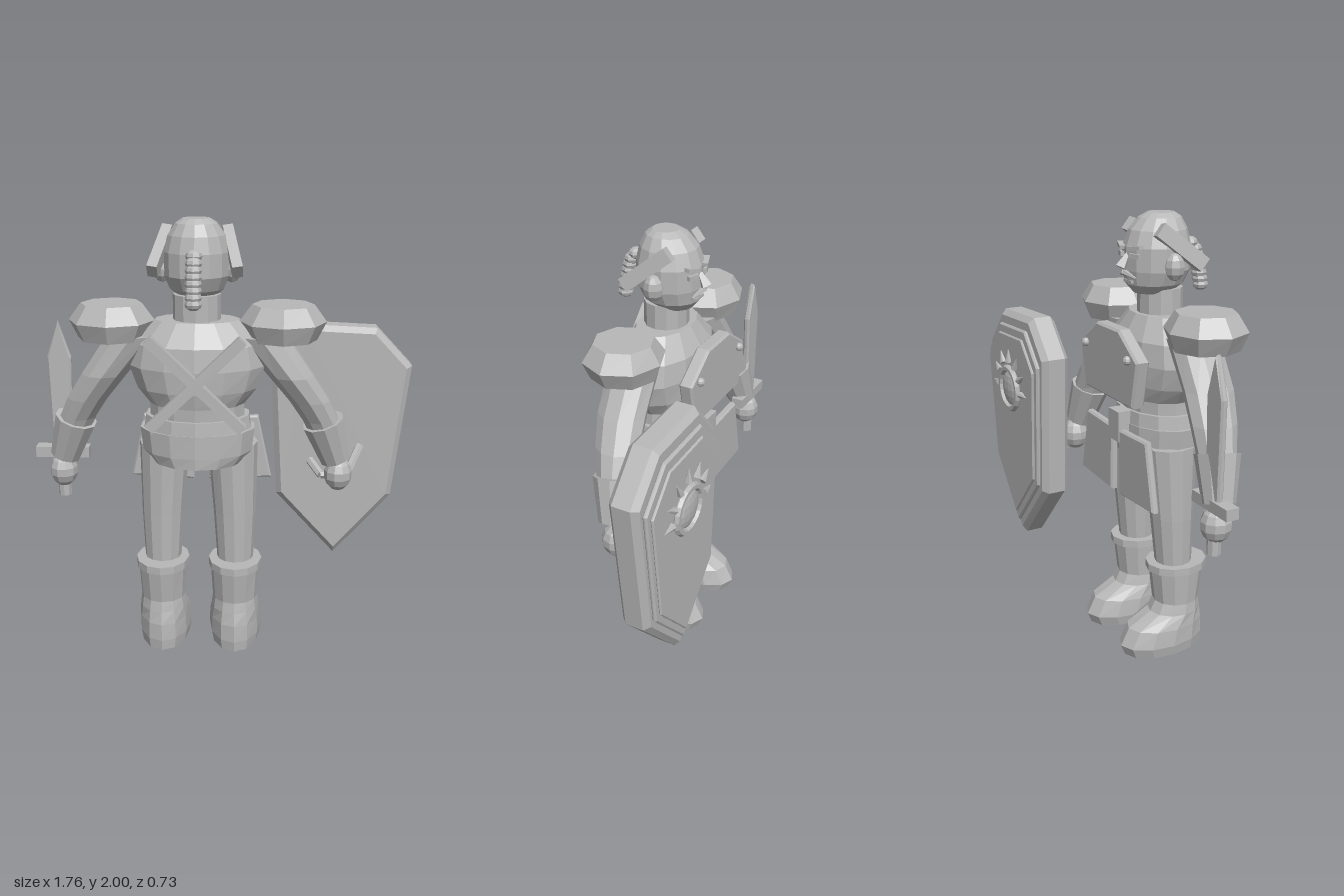
import * as THREE from 'three';

const grey = new THREE.MeshStandardMaterial({ color: 0xb8b8b8, flatShading: true });
grey.name = 'plain grey';

const V = (x, y, z) => new THREE.Vector3(x, y, z);

function add(parent, name, geometry, x = 0, y = 0, z = 0) {
  const mesh = new THREE.Mesh(geometry, grey);
  mesh.name = name;
  mesh.position.set(x, y, z);
  parent.add(mesh);
  return mesh;
}

// Stack of horizontal ellipses, bottom to top: [y, centreX, centreZ, radiusX, radiusZ]
function loft(rings, sides = 12) {
  const geometry = new THREE.CylinderGeometry(1, 1, 1, sides, rings.length - 1);
  const p = geometry.attributes.position;
  for (let i = 0; i < p.count; i++) {
    const [y, cx, cz, rx, rz] = rings[Math.round((p.getY(i) + 0.5) * (rings.length - 1))];
    p.setXYZ(i, cx + p.getX(i) * rx, y, cz + p.getZ(i) * rz);
  }
  geometry.computeVertexNormals();
  return geometry;
}

// Straight tapered rod from a to b
function rod(parent, name, a, b, ra, rb, sides = 8) {
  const dir = b.clone().sub(a);
  const mesh = add(parent, name, new THREE.CylinderGeometry(rb, ra, dir.length(), sides));
  mesh.position.copy(a).add(b).multiplyScalar(0.5);
  mesh.quaternion.setFromUnitVectors(V(0, 1, 0), dir.normalize());
  return mesh;
}

// Flat outline extruded between z0 and z1
function plate(parent, name, points, z0, z1, bevel = 0) {
  const shape = new THREE.Shape(points.map(([x, y]) => new THREE.Vector2(x, y)));
  const geometry = new THREE.ExtrudeGeometry(shape, {
    depth: z1 - z0 - 2 * bevel, bevelEnabled: bevel > 0, bevelThickness: bevel,
    bevelSize: bevel, bevelOffset: -bevel, bevelSegments: 1,
  });
  return add(parent, name, geometry, 0, 0, z0 + bevel);
}

const ball = (r, w = 10, h = 7) => new THREE.SphereGeometry(r, w, h);
const box = (x, y, z) => new THREE.BoxGeometry(x, y, z);

function addHead(body) {
  add(body, 'neck', loft([[1.54, 0, 0.12, 0.105, 0.1], [1.68, 0, 0.12, 0.105, 0.1]]));
  add(body, 'head', loft([
    [1.66, 0, 0.08, 0.075, 0.085], [1.7, 0, 0.09, 0.12, 0.13], [1.76, 0, 0.1, 0.143, 0.15],
    [1.86, 0, 0.1, 0.145, 0.15], [1.93, 0, 0.105, 0.125, 0.13], [1.98, 0, 0.115, 0.09, 0.095],
    [2, 0, 0.12, 0.06, 0.06]], 14));

  // Braid
  for (let i = 0; i < 8; i++) {
    const t = i / 7;
    const bead = add(body, 'braidBead', ball(0.036, 8, 6), 0, 1.86 - 0.19 * t,
      0.27 + 0.06 * Math.sqrt(t));
    bead.scale.y = 0.75;
  }

  for (const s of [-1, 1]) {
    add(body, 'ear', ball(1, 8, 6), s * 0.15, 1.785, 0.1).scale.set(0.042, 0.06, 0.045);
    const wing = add(body, 'templeWing', box(0.045, 0.065, 0.25), s * 0.155, 1.865, 0.13);
    wing.rotation.set(0.68, s * 0.2, 0);
    const brow = add(body, 'brow', box(0.07, 0.016, 0.03), s * 0.058, 1.862, -0.04);
    brow.rotation.set(0, s * -0.35, s * 0.15);
    const eye = add(body, 'eye', box(0.055, 0.02, 0.02), s * 0.056, 1.828, -0.04);
    eye.rotation.y = s * -0.35;
    rod(body, 'moustache', V(0, 1.755, -0.06), V(s * 0.065, 1.735, -0.04), 0.014, 0.004, 5);
  }
  rod(body, 'nose', V(0, 1.835, -0.04), V(0, 1.775, -0.075), 0.01, 0.028, 4);
  add(body, 'mouth', box(0.07, 0.012, 0.02), 0, 1.715, -0.035);
}

function addTorso(body) {
  add(body, 'torso', loft([
    [1.12, 0, 0.12, 0.215, 0.165], [1.2, 0, 0.12, 0.215, 0.17], [1.27, 0, 0.12, 0.27, 0.185],
    [1.37, 0, 0.12, 0.305, 0.19], [1.47, 0, 0.12, 0.285, 0.18], [1.57, 0, 0.12, 0.185, 0.12]], 14));
  add(body, 'belt', loft([[1.075, 0, 0.12, 0.245, 0.185], [1.145, 0, 0.12, 0.235, 0.18]], 14));
  add(body, 'hips', loft([
    [0.93, 0, 0.12, 0.21, 0.185], [0.98, 0, 0.12, 0.25, 0.187], [1.085, 0, 0.12, 0.262, 0.187]], 14));
  add(body, 'buckle', box(0.09, 0.14, 0.07), 0, 1.075, -0.08);

  // Breastplate with rivets
  plate(body, 'breastplate', [[-0.26, 1.42], [-0.215, 1.21], [0.215, 1.21], [0.26, 1.42],
    [0.1, 1.53], [-0.1, 1.53]], -0.145, -0.08, 0.01);
  for (const s of [-1, 1]) {
    add(body, 'rivet', ball(0.02, 8, 6), s * 0.19, 1.42, -0.152);
    // Crossed bars on the back
    add(body, 'backBar', box(0.045, 0.56, 0.045), 0.005, 1.325, 0.33).rotation.z = s * 0.8;
    // Hanging hip plate
    plate(body, 'hipPlate', [[s * 0.03, 1.06], [s * 0.035, 0.75], [s * 0.335, 0.765],
      [s * 0.27, 1.07]], -0.108, -0.072, 0.008);
  }
}

function addLimbs(body) {
  for (const s of [-1, 1]) {
    add(body, 'shoulderPad', loft([[1.48, s * 0.375, 0.115, 0.15, 0.145],
      [1.56, s * 0.375, 0.115, 0.19, 0.175], [1.635, s * 0.375, 0.115, 0.135, 0.13]], 8));
    add(body, 'arm', loft([
      [0.98, s * 0.6, 0.04, 0.075, 0.07], [1.1, s * 0.555, 0.06, 0.085, 0.085],
      [1.2, s * 0.5, 0.08, 0.095, 0.1], [1.32, s * 0.415, 0.105, 0.105, 0.11],
      [1.5, s * 0.28, 0.115, 0.12, 0.11]], 10));
    rod(body, 'wristCuff', V(s * 0.63, 0.9, 0.03), V(s * 0.565, 1.09, 0.06), 0.07, 0.097, 10);
    add(body, 'hand', ball(1), s * 0.645, 0.82, 0.01).scale.set(0.066, 0.08, 0.07);

    add(body, 'leg', loft([
      [0.4, s * 0.17, 0.105, 0.083, 0.083], [0.66, s * 0.167, 0.095, 0.098, 0.1],
      [1.0, s * 0.155, 0.085, 0.115, 0.125]]));
    add(body, 'boot', loft([
      [0, s * 0.17, 0.05, 0.115, 0.2], [0.05, s * 0.17, 0.042, 0.125, 0.213],
      [0.13, s * 0.17, 0.06, 0.122, 0.19], [0.19, s * 0.17, 0.11, 0.112, 0.125],
      [0.24, s * 0.17, 0.118, 0.105, 0.108], [0.4, s * 0.17, 0.12, 0.115, 0.13]]));
    add(body, 'bootCuff', loft([
      [0.4, s * 0.17, 0.12, 0.124, 0.146], [0.435, s * 0.17, 0.12, 0.124, 0.146]]));
  }
}

function addSword(model) {
  const sword = new THREE.Group();
  sword.name = 'sword';
  model.add(sword);
  plate(sword, 'blade', [[-0.8, 0.91], [-0.71, 0.91], [-0.697, 1.36], [-0.752, 1.53],
    [-0.808, 1.36]], -0.018, 0.012, 0.008);
  add(sword, 'guard', box(0.25, 0.05, 0.06), -0.755, 0.91, 0);
  add(sword, 'handle', new THREE.CylinderGeometry(0.03, 0.03, 0.22, 8), -0.757, 0.8, 0);
}

function addShield(model) {
  const shield = new THREE.Group();
  shield.name = 'shield';
  model.add(shield);
  const outline = [[0.37, 1.485], [0.215, 1.315], [0.25, 0.64], [0.54, 0.325],
    [0.81, 0.64], [0.88, 1.29], [0.71, 1.47]];
  const shrink = (k) => outline.map(([x, y]) => [0.54 + (x - 0.54) * k, 0.96 + (y - 0.96) * k]);
  plate(shield, 'shieldBody', outline, -0.302, -0.167, 0.026);
  plate(shield, 'shieldPanel', shrink(0.88), -0.322, -0.3, 0.008);
  plate(shield, 'shieldInset', shrink(0.8), -0.335, -0.32, 0.006);

  // Sun boss: ring, dome and rays over the upper half
  add(shield, 'bossRing', new THREE.TorusGeometry(0.1, 0.018, 6, 20), 0.54, 1.11, -0.342);
  add(shield, 'bossDome', ball(1, 14, 8), 0.54, 1.11, -0.335).scale.set(0.088, 0.088, 0.025);
  for (let i = 0; i < 7; i++) {
    const a = Math.PI * i / 6;
    const at = (r) => V(0.54 + r * Math.cos(a), 1.11 + r * Math.sin(a), -0.342);
    rod(shield, 'sunRay', at(0.132), at(0.195), 0.017, 0.002, 6);
  }

  // Bent grip on the inner side
  const grip = [V(0.41, 0.82, -0.17), V(0.46, 0.775, -0.088), V(0.585, 0.785, -0.085),
    V(0.65, 0.9, -0.17)];
  for (let i = 0; i < 3; i++) rod(shield, 'shieldGrip', grip[i], grip[i + 1], 0.02, 0.02, 6);
}

export function createModel() {
  const model = new THREE.Group();
  model.name = 'warrior';
  const body = new THREE.Group();
  body.name = 'body';
  body.position.x = -0.11;
  model.add(body);
  addHead(body);
  addTorso(body);
  addLimbs(body);
  addSword(model);
  addShield(model);
  return model;
}
